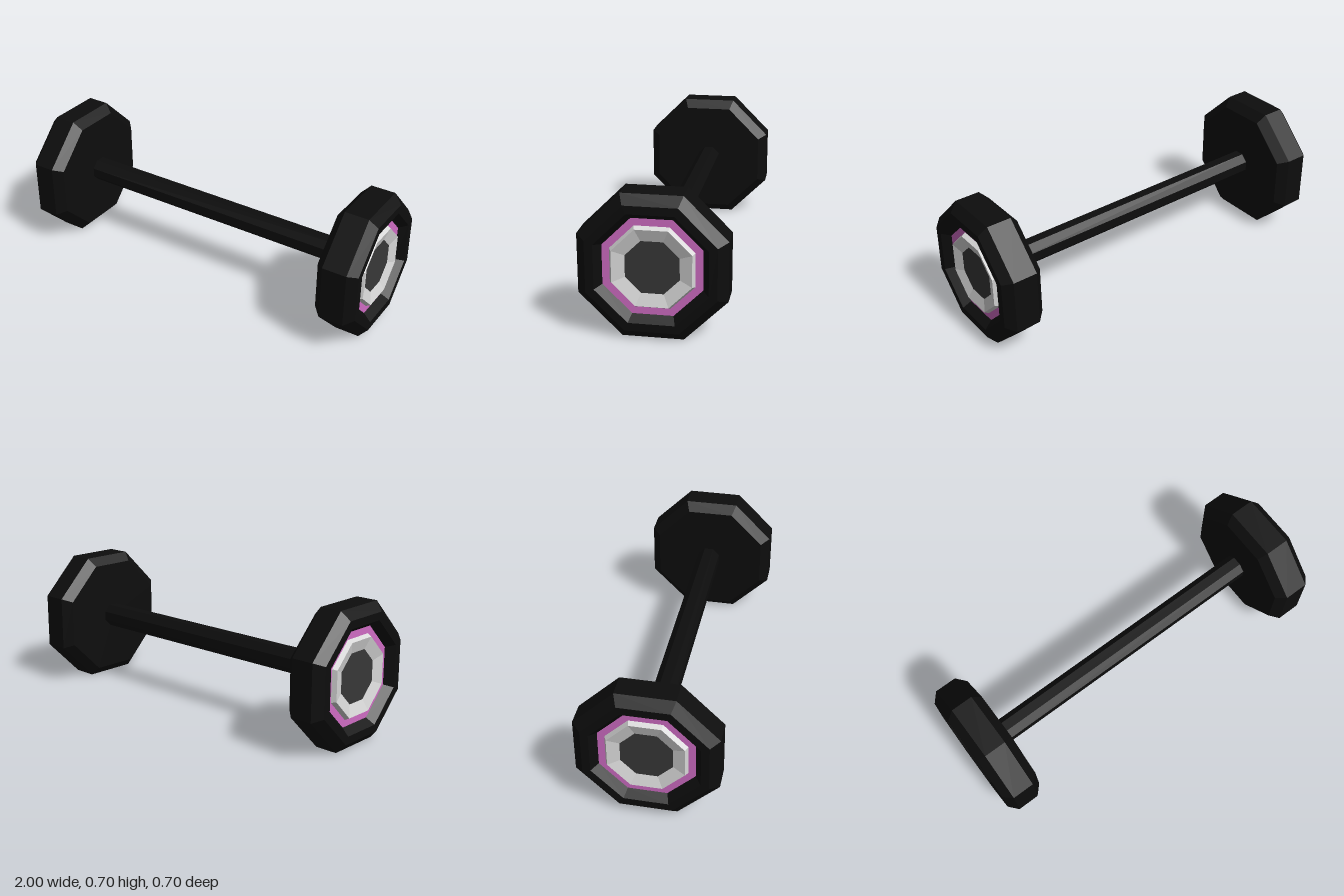
import * as THREE from 'three';

const SIDES = 8;
const AXLE_Y = 0.351;

const flat = (name, color) =>
  new THREE.MeshStandardMaterial({ name, color, flatShading: true });

// Octagonal solid around the x axis; profile is [flat-side radius, x] from inside to outside
function octagonLathe(profile) {
  const k = 1 / Math.cos(Math.PI / SIDES);
  const points = profile.map(([r, x]) => new THREE.Vector2(r * k, x));
  return new THREE.LatheGeometry(points, SIDES, Math.PI / SIDES).rotateZ(-Math.PI / 2);
}

export function createModel() {
  const rubber = flat('black rubber', 0x0d0d0d);
  const pink = flat('pink trim', 0xd06cc4);
  const silver = flat('silver metal', 0xd8d8d8);
  const grey = flat('dark grey hub', 0x383838);

  const model = new THREE.Group();
  model.name = 'wheelAxle';

  const add = (parent, name, profile, material) => {
    const mesh = new THREE.Mesh(octagonLathe(profile), material);
    mesh.name = name;
    parent.add(mesh);
  };

  // Wheel pointing along +x; inner is the x of its inner face
  function makeWheel(name, inner) {
    const wheel = new THREE.Group();
    wheel.name = name;
    // Chamfered tyre with a lip sloping in to the rim
    add(wheel, 'tyre', [
      [0, inner], [0.305, inner], [0.35, inner + 0.045],
      [0.35, 0.957], [0.305, 1], [0.265, 1], [0.234, 0.957],
    ], rubber);
    // Flat recessed trim ring
    add(wheel, 'trimRing', [[0.234, 0.957], [0.195, 0.957]], pink);
    // Raised rim with a dished inside
    add(wheel, 'rim', [[0.2, 0.955], [0.187, 0.98], [0.127, 0.961]], silver);
    // Hub disc
    add(wheel, 'hub', [[0.127, 0.961], [0, 0.961]], grey);
    wheel.position.y = AXLE_Y;
    model.add(wheel);
    return wheel;
  }

  makeWheel('leftWheel', 0.784);
  makeWheel('rightWheel', 0.796).rotation.y = Math.PI;

  // Axle bar joining the wheels
  const axle = new THREE.Group();
  axle.name = 'axle';
  add(axle, 'axleBar', [[0.061, -0.82], [0.061, 0.82]], rubber);
  axle.position.set(0, AXLE_Y + 0.003, -0.005);
  model.add(axle);

  return model;
}
